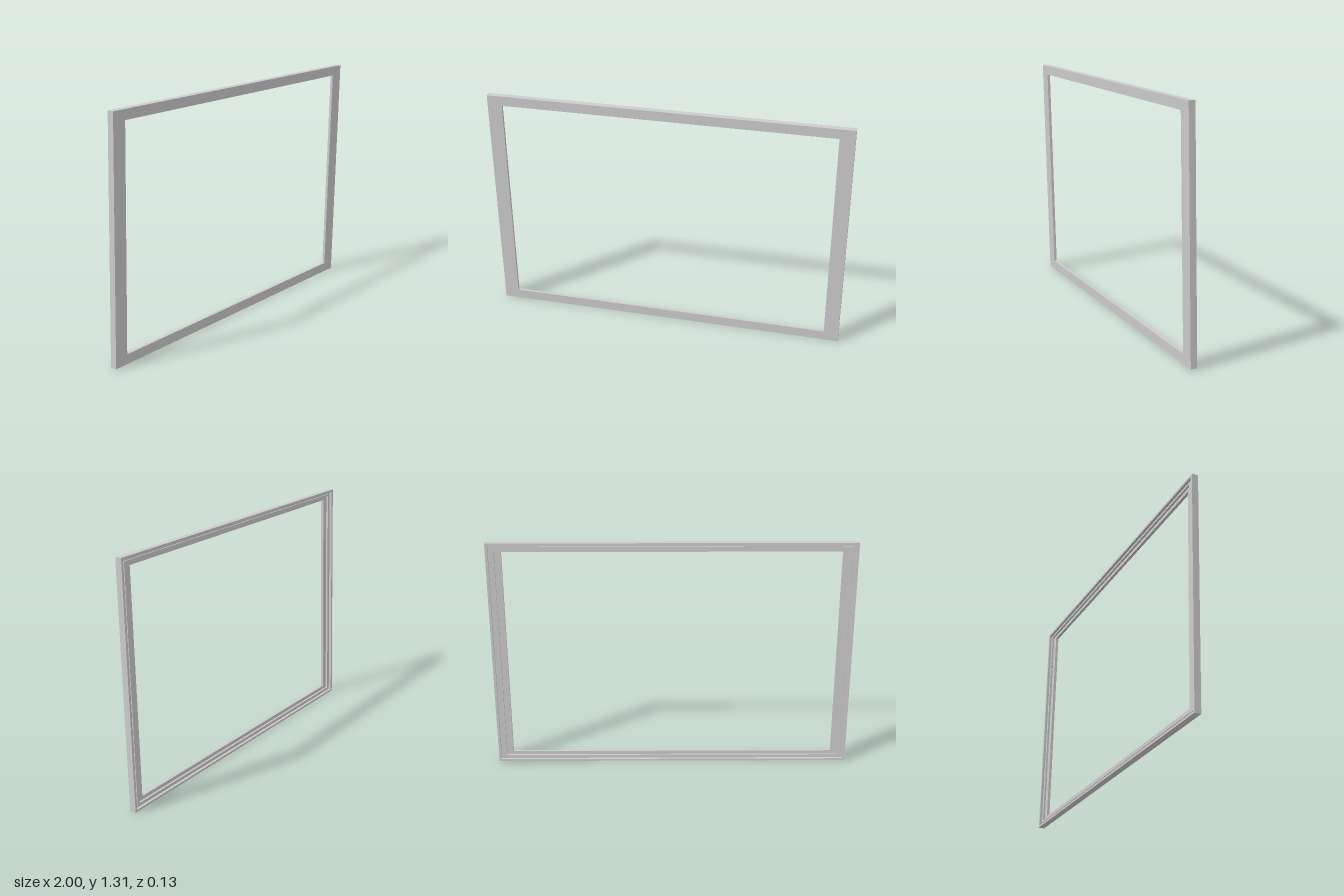
import * as THREE from 'three';

const HALF_W = 0.999, HALF_H = 0.656;

// Closed moulding section, front outer edge first: [inset on stiles, inset on rails, z]
const SECTION = [
  [0, 0, 0.0175], [0.082, 0.054, 0.0175],          // front face
  [0.082, 0.054, 0.002], [0.046, 0.034, 0.002],    // thin inner border
  [0.046, 0.034, -0.009], [0.029, 0.023, -0.009],  // raised ridge
  [0.029, 0.023, -0.003], [0.014, 0.012, -0.003],  // groove
  [0.014, 0.012, -0.0175], [0, 0, -0.0175],        // outer lip
];
const CORNERS = [[-1, -1], [1, -1], [1, 1], [-1, 1]];

// Sweep the section around the rectangle with mitred corners
function mouldingGeometry() {
  const at = (c, p) => [c[0] * (HALF_W - p[0]), c[1] * (HALF_H - p[1]), p[2]];
  const pos = [];
  CORNERS.forEach((c0, i) => {
    const c1 = CORNERS[(i + 1) % 4];
    SECTION.forEach((p0, k) => {
      const p1 = SECTION[(k + 1) % SECTION.length];
      const a = at(c0, p0), b = at(c1, p0), c = at(c1, p1), d = at(c0, p1);
      pos.push(...a, ...b, ...c, ...a, ...c, ...d);
    });
  });
  const g = new THREE.BufferGeometry();
  g.setAttribute('position', new THREE.Float32BufferAttribute(pos, 3));
  g.computeVertexNormals();
  return g;
}

export function createModel() {
  const group = new THREE.Group();
  group.name = 'pictureFrame';
  const frame = new THREE.Mesh(
    mouldingGeometry(),
    new THREE.MeshStandardMaterial({ color: 0xcccccc, flatShading: true })
  );
  frame.name = 'frameMoulding';
  // Slight forward lean and turn
  frame.rotation.set(0.026, 0.0295, 0);
  frame.position.y = 0.6565;
  group.add(frame);
  return group;
}
